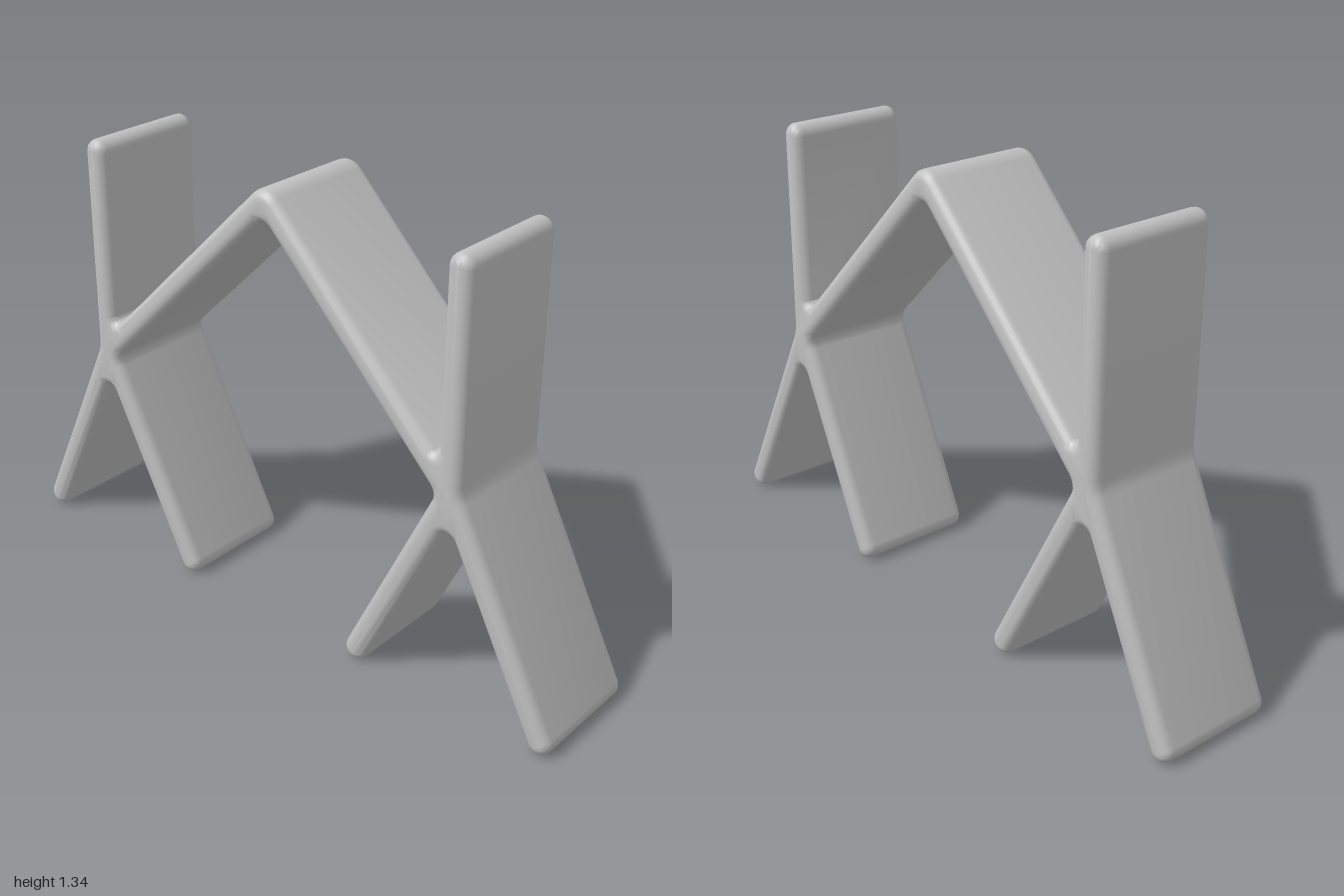
import * as THREE from 'three';
import { toCreasedNormals } from 'three/addons/utils/BufferGeometryUtils.js';

const HALF = 0.037;   // half thickness of every panel
const DEPTH = 0.38;   // front to back
const BEVEL = 0.03;   // rounding of the front and back edges

// Walk around a branching centre line, keeping HALF to its left.
// Dead ends get round tips; every other corner gets a fillet of radius r.
function outlineAround(walk) {
  const points = [];
  const count = walk.length;
  walk.forEach(({ at, r = HALF }, i) => {
    const from = walk[(i + count - 1) % count].at;
    const to = walk[(i + 1) % count].at;
    const d1 = at.clone().sub(from).normalize();
    const d2 = to.clone().sub(at).normalize();
    const n1 = new THREE.Vector2(-d1.y, d1.x);
    const n2 = new THREE.Vector2(-d2.y, d2.x);
    const tip = from === to;
    const turn = tip ? -Math.PI : Math.atan2(d1.cross(d2), d1.dot(d2));
    const side = Math.sign(turn);
    const start = at.clone();
    if (tip) {
      start.addScaledVector(n1, HALF);
    } else {
      start.addScaledVector(n1.clone().add(n2), HALF / (1 + n1.dot(n2)));
      start.addScaledVector(d1, -r * Math.tan(Math.abs(turn) / 2));
    }
    const centre = start.clone().addScaledVector(n1, side * r);
    const steps = Math.max(3, Math.ceil(Math.abs(turn) / 0.3));
    for (let k = 0; k <= steps; k++) {
      points.push(start.clone().rotateAround(centre, (turn * k) / steps));
    }
  });
  return points;
}

export function createModel() {
  const group = new THREE.Group();
  group.name = 'panelFrame';
  const grey = new THREE.MeshStandardMaterial({ color: 0xc0c0c0 });
  grey.name = 'plain grey';

  // Centre line: two forked legs with posts, joined by a peaked roof
  const v = (x, y) => new THREE.Vector2(x, y);
  const apex = v(0, 1.32);
  const right = { joint: v(-0.662, 0.67), post: v(-0.662, 1.305), outer: v(-0.963, 0.04), inner: v(-0.337, 0.04) };
  const left = { joint: v(0.639, 0.67), post: v(0.639, 1.305), outer: v(0.963, 0.04), inner: v(0.337, 0.04) };

  const walk = [
    { at: right.outer }, { at: right.joint, r: 0.1 },
    { at: right.post }, { at: right.joint, r: 0.015 },
    { at: apex, r: 0.06 },
    { at: left.joint, r: 0.015 }, { at: left.post },
    { at: left.joint, r: 0.1 }, { at: left.outer },
    { at: left.joint, r: 0.025 }, { at: left.inner },
    { at: left.joint, r: 0.04 },
    { at: apex, r: 0.03 },
    { at: right.joint, r: 0.04 }, { at: right.inner },
    { at: right.joint, r: 0.025 },
  ];

  // One fused body with rounded edges
  const geometry = new THREE.ExtrudeGeometry(new THREE.Shape(outlineAround(walk)), {
    depth: DEPTH - 2 * BEVEL,
    bevelEnabled: true,
    bevelThickness: BEVEL,
    bevelSize: BEVEL,
    bevelOffset: -BEVEL,
    bevelSegments: 5,
  });
  geometry.translate(0, 0, BEVEL - DEPTH / 2);
  geometry.translate(0, 0, -(DEPTH / 2 - BEVEL) + (DEPTH / 2 - BEVEL));
  geometry.clearGroups();
  geometry.deleteAttribute('uv');

  const frame = new THREE.Mesh(toCreasedNormals(geometry, 0.7), grey);
  frame.name = 'legsPostsAndRoof';
  group.add(frame);
  return group;
}
